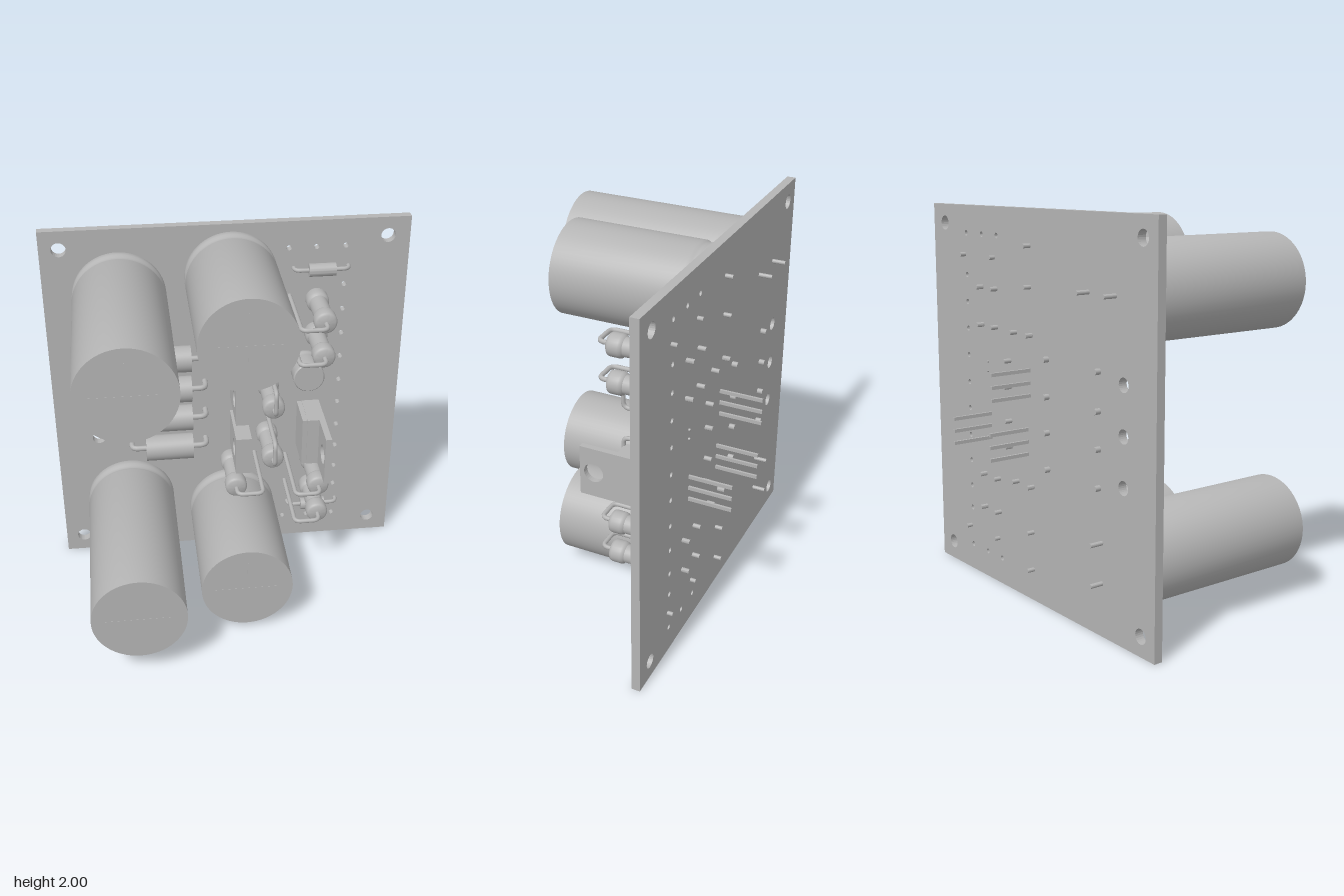
import * as THREE from 'three';
import { toCreasedNormals } from 'three/addons/utils/BufferGeometryUtils.js';

const grey = new THREE.MeshStandardMaterial({ color: 0xb4b4b4 });
grey.name = 'plain grey';

const BOARD_FRONT = -0.4;
const BOARD_BACK = -0.445;

export function createModel() {
  const model = new THREE.Group();
  model.name = 'circuitBoard';

  const add = (name, geometry, parent = model) => {
    const mesh = new THREE.Mesh(geometry, grey);
    mesh.name = name;
    parent.add(mesh);
    return mesh;
  };
  const group = (name) => {
    const g = new THREE.Group();
    g.name = name;
    model.add(g);
    return g;
  };
  const circleHole = (shape, x, y, r) =>
    shape.holes.push(new THREE.Path().absarc(x, y, r, 0, Math.PI * 2, true));
  const rect = (x0, y0, x1, y1) => new THREE.Shape([
    new THREE.Vector2(x0, y0), new THREE.Vector2(x1, y0),
    new THREE.Vector2(x1, y1), new THREE.Vector2(x0, y1)]);

  // Turned part whose profile is [radius, position along its axis]; axis is z or x
  const turned = (profile, axis = 'z', segments = 40) => {
    const g = new THREE.LatheGeometry(profile.map(([r, h]) => new THREE.Vector2(r, h)), segments);
    if (axis === 'z') g.rotateX(Math.PI / 2);
    else g.rotateZ(-Math.PI / 2);
    return toCreasedNormals(g, 0.7);
  };
  const rod = (r, z0, z1) => turned([[0, z0], [r, z0], [r, z1], [0, z1]], 'z', 12);

  // Round wire along a polyline with bent corners
  const wire = (name, points, r, parent) => {
    const p = points.map((a) => new THREE.Vector3(...a));
    const path = new THREE.CurvePath();
    let from = p[0];
    for (let i = 1; i < p.length - 1; i++) {
      const bend = 0.035;
      const a = p[i].clone().add(p[i - 1].clone().sub(p[i]).setLength(bend));
      const b = p[i].clone().add(p[i + 1].clone().sub(p[i]).setLength(bend));
      path.add(new THREE.LineCurve3(from, a));
      path.add(new THREE.QuadraticBezierCurve3(a, p[i], b));
      from = b;
    }
    path.add(new THREE.LineCurve3(from, p[p.length - 1]));
    add(name, new THREE.TubeGeometry(path, 60, r, 10), parent);
    for (const end of [p[0], p[p.length - 1]]) {
      const cap = add(name + 'End', new THREE.CircleGeometry(r, 10).rotateY(Math.PI), parent);
      cap.position.copy(end);
    }
  };

  // Board with mounting, terminal and small edge holes
  const board = rect(-0.95, 0, 0.95, 2);
  for (const x of [-0.85, 0.835]) for (const y of [0.1, 1.9]) circleHole(board, x, y, 0.038);
  for (const y of [1.245, 1.01, 0.77]) circleHole(board, -0.72, y, 0.035);
  for (const y of [1.855, 1.637, 1.494, 1.351, 1.208, 1.06, 0.917, 0.768, 0.625, 0.482, 0.355, 0.143])
    circleHole(board, 0.615, y, 0.014);
  for (const x of [0.32, 0.463]) for (const y of [0.143, 1.855]) circleHole(board, x, y, 0.014);
  add('board', new THREE.ExtrudeGeometry(board, {
    depth: BOARD_FRONT - BOARD_BACK, bevelEnabled: false, curveSegments: 12,
  }).translate(0, 0, BOARD_BACK));

  // Large capacitors: x, y, front z, pin direction, pin end
  const R = 0.242;
  for (const [x, y, front, vertical, pinEnd] of [
    [-0.56, 1.637, 0.62, false, -0.515], [-0.56, 0.368, 0.665, true, -0.515],
    [0.018, 1.72, 0.375, true, -0.485], [0.018, 0.268, 0.375, true, -0.485]]) {
    const g = group('largeCapacitor');
    g.position.set(x, y, 0);
    add('can', turned([[0, -0.4], [R - 0.006, -0.4], [R, -0.39], [R, -0.36], [R - 0.007, -0.347],
      [R - 0.01, -0.333], [R - 0.007, -0.319], [R, -0.306], [R, front], [0, front]], 'z', 56), g);
    // Scored cross on the front face
    add('scoreLine', new THREE.BoxGeometry(0.34, 0.005, 0.002), g).position.z = front;
    add('scoreLine', new THREE.BoxGeometry(0.005, 0.34, 0.002), g).position.z = front;
    for (const s of [-0.1, 0.1])
      add('pin', rod(0.011, pinEnd, -0.4), g).position.set(vertical ? 0 : s, vertical ? s : 0, 0);
  }

  // Small round capacitor
  const small = group('smallCapacitor');
  small.position.set(0.42, 1.172, 0);
  add('can', turned([[0, -0.4], [0.08, -0.4], [0.084, -0.39], [0.084, -0.375], [0.08, -0.363],
    [0.084, -0.35], [0.084, -0.242], [0.078, -0.235], [0, -0.235]]), small);
  for (const s of [-0.025, 0.025]) add('pin', rod(0.006, -0.455, -0.4), small).position.y = s;

  // Axial diodes lying on the board, leads bent through it
  const axialPart = (name, x, y, z, r, half, leadHalf, leadR, pinEnd) => {
    const g = group(name);
    g.position.set(x, y, 0);
    add('body', turned([[0, -half], [r, -half], [r, half], [0, half]], 'x'), g).position.z = z;
    wire('lead', [[-leadHalf, 0, pinEnd], [-leadHalf, 0, z], [leadHalf, 0, z], [leadHalf, 0, pinEnd]], leadR, g);
  };
  for (const y of [1.282, 1.097, 0.917, 0.731])
    axialPart('largeDiode', -0.334, y, -0.325, 0.071, 0.13, 0.207, 0.015, -0.475);
  for (const y of [1.743, 0.249])
    axialPart('smallDiode', 0.489, y, -0.36, 0.034, 0.07, 0.143, 0.011, -0.475);

  // Upright resistors: x, y, and offset of the folded lead
  for (const [x, y, dx, dy] of [
    [0.463, 1.585, -0.135, 0], [0.463, 1.388, -0.135, 0], [0.463, 0.583, -0.135, 0], [0.463, 0.4, -0.135, 0],
    [0.01, 1.383, 0.14, 0], [0.01, 0.61, 0.14, 0], [0.209, 1.095, 0, 0.135], [0.209, 0.782, 0, 0.135]]) {
    const g = group('resistor');
    g.position.set(x, y, 0);
    add('body', turned([[0, -0.37], [0.046, -0.37], [0.055, -0.364], [0.059, -0.352], [0.059, -0.305],
      [0.056, -0.294], [0.048, -0.286], [0.048, -0.142], [0.056, -0.134], [0.059, -0.123],
      [0.059, -0.076], [0.055, -0.064], [0.046, -0.058], [0, -0.058]], 'z', 28), g);
    wire('foldedLead', [[0, 0, -0.07], [0, 0, 0.003], [dx, dy, 0.003], [dx, dy, -0.485]], 0.012, g);
    add('straightLead', rod(0.012, -0.485, -0.36), g);
  }

  // Plate standing along z with an optional hole, from x0 to x1
  const plate = (name, x0, x1, y, halfY, z0, z1, holeZ, holeR, parent) => {
    const s = rect(z0, y - halfY, z1, y + halfY);
    if (holeR) circleHole(s, holeZ, y, holeR);
    add(name, new THREE.ExtrudeGeometry(s, { depth: x1 - x0, bevelEnabled: false, curveSegments: 14 })
      .rotateY(-Math.PI / 2).translate(x1, 0, 0), parent);
  };
  const legs = (x, y, pitch, top, parent) => {
    for (const i of [-1, 0, 1])
      add('leg', new THREE.BoxGeometry(0.012, 0.018, top + 0.67), parent)
        .position.set(x, y + i * pitch, (top - 0.67) / 2);
  };

  // Two flat transistors with a hole through the body
  for (const [y, legX] of [[1.142, 0.03], [0.837, 0.053]]) {
    const g = group('flatTransistor');
    plate('body', 0.003, 0.087, y, 0.108, -0.326, -0.026, -0.125, 0.048, g);
    legs(legX, y, 0.064, -0.32, g);
  }

  // Power transistor with a metal tab
  const power = group('powerTransistor');
  plate('tab', 0.457, 0.489, 0.858, 0.138, -0.3, 0.106, 0.03, 0.053, power);
  plate('body', 0.394, 0.457, 0.858, 0.138, -0.3, -0.09, 0, 0, power);
  plate('bodyFace', 0.368, 0.394, 0.858, 0.136, -0.298, -0.095, 0, 0, power);
  legs(0.403, 0.858, 0.064, -0.29, power);

  return model;
}
